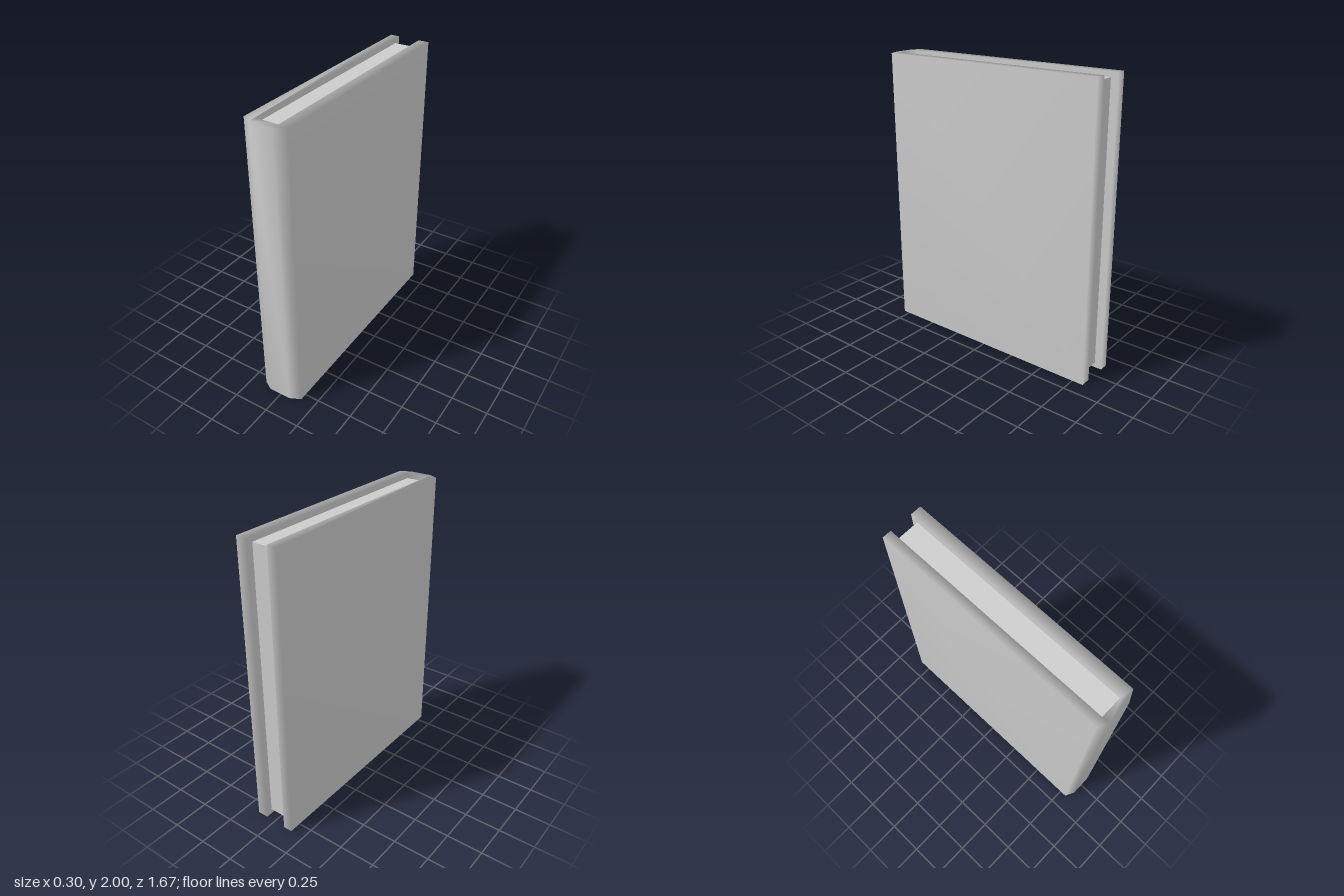
import * as THREE from 'three';
import { mergeVertices } from 'three/addons/utils/BufferGeometryUtils.js';

const grey = new THREE.MeshStandardMaterial({ color: 0xcccccc });

export function createModel() {
  const book = new THREE.Group();
  book.name = 'book';

  // Cover: U-shaped section (x, z) with a bevelled spine at the front
  const section = [
    [-0.15, -0.835], [-0.15, 0.8], [-0.087, 0.835], [0.07, 0.835], [0.145, 0.8],
    [0.145, -0.83], [0.07, -0.83], [0.07, 0.783], [-0.087, 0.783], [-0.087, -0.835],
  ];
  const shape = new THREE.Shape(section.map(([x, z]) => new THREE.Vector2(x, -z)));
  let coverGeometry = new THREE.ExtrudeGeometry(shape, { depth: 2, bevelEnabled: false });
  coverGeometry.rotateX(-Math.PI / 2);

  // Weld the corners so the cover shades softly across its edges
  coverGeometry.deleteAttribute('normal');
  coverGeometry.deleteAttribute('uv');
  coverGeometry = mergeVertices(coverGeometry, 1e-4);
  coverGeometry.computeVertexNormals();
  const cover = new THREE.Mesh(coverGeometry, grey);
  cover.name = 'cover';

  // Page block, set back from the cover's top, bottom and open edge
  const pages = new THREE.Mesh(new THREE.BoxGeometry(0.158, 1.93, 1.568), grey);
  pages.name = 'pages';
  pages.position.set(-0.0085, 1, 0);

  book.add(cover, pages);
  return book;
}
